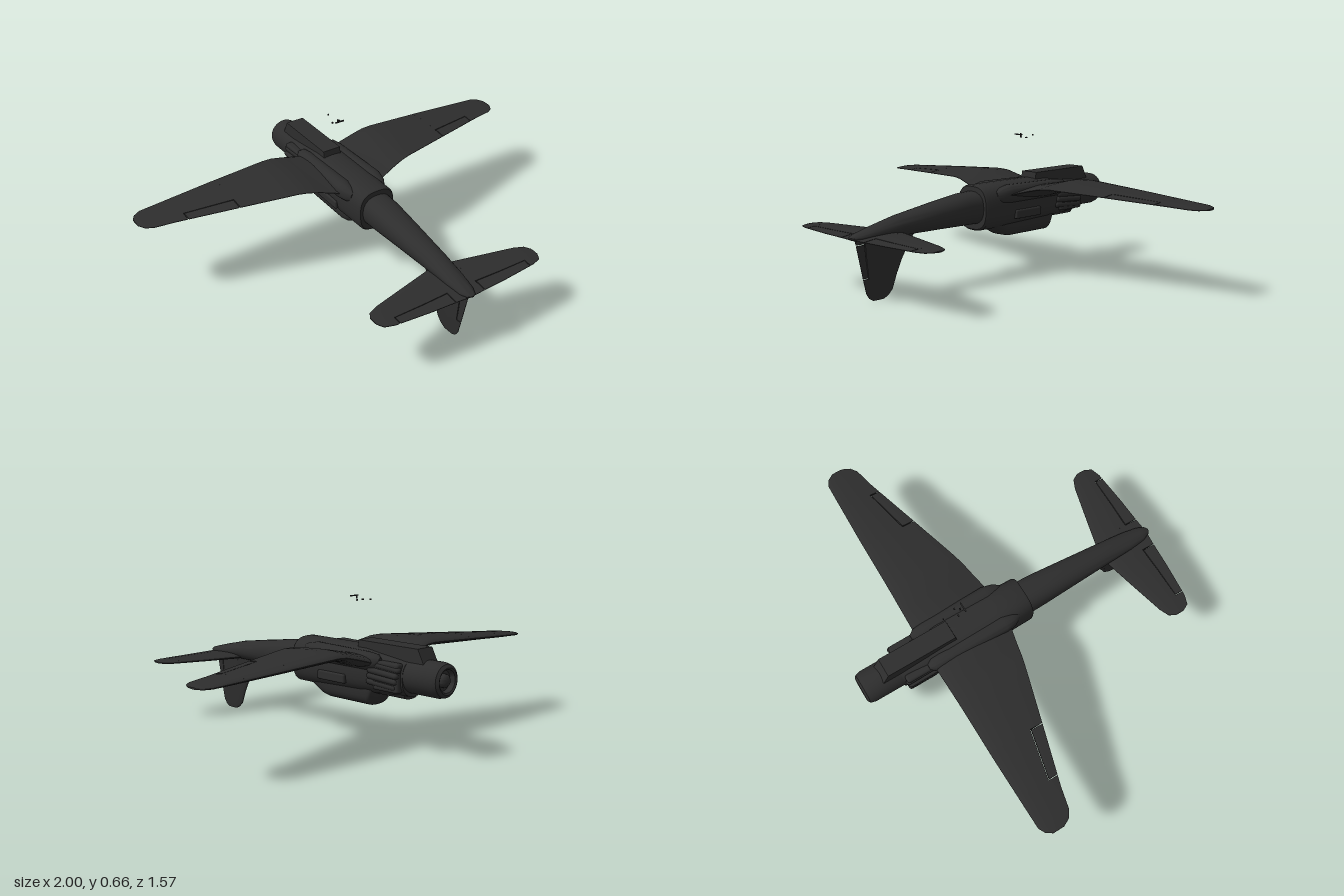
import * as THREE from 'three';
import { toCreasedNormals } from 'three/addons/utils/BufferGeometryUtils.js';
import { RoundedBoxGeometry } from 'three/addons/geometries/RoundedBoxGeometry.js';

const charcoal = new THREE.MeshStandardMaterial({ color: 0x2d2d2d });
charcoal.name = 'charcoal';

// Skins closed rings of [x, y, z] points, caps the ends and turns all faces outward
function loft(rings, crease = 0.6) {
  const n = rings[0].length;
  const pos = rings.flat(2);
  const index = [];
  for (let r = 0; r < rings.length - 1; r++) {
    for (let i = 0; i < n; i++) {
      const a = r * n + i, b = r * n + (i + 1) % n;
      index.push(a, b, b + n, a, b + n, a + n);
    }
  }
  const last = (rings.length - 1) * n;
  for (let i = 1; i < n - 1; i++) index.push(0, i + 1, i, last, last + i, last + i + 1);
  const g = new THREE.BufferGeometry();
  g.setAttribute('position', new THREE.Float32BufferAttribute(pos, 3));
  g.setIndex(index);
  return toCreasedNormals(outward(g), crease);
}

// Reverses the corner order when the enclosed volume comes out negative
function outward(g) {
  const p = g.attributes.position, ix = g.index.array;
  const v = [0, 1, 2].map(() => new THREE.Vector3());
  let volume = 0;
  for (let i = 0; i < ix.length; i += 3) {
    v.forEach((c, k) => c.fromBufferAttribute(p, ix[i + k]));
    volume += v[0].dot(v[1].clone().cross(v[2]));
  }
  if (volume < 0) for (let i = 0; i < ix.length; i += 3) [ix[i], ix[i + 1]] = [ix[i + 1], ix[i]];
  return g;
}

// Body along z from stations [z, halfWidth, bottom, top, squareness]
function body(stations, cx = 0, crease = 0.6) {
  const soft = (v, e) => Math.sign(v) * Math.abs(v) ** (2 / e);
  return loft(stations.map(([z, w, y0, y1, e = 2]) => Array.from({ length: 28 }, (_, i) => {
    const a = i / 28 * Math.PI * 2;
    return [cx + w * soft(Math.cos(a), e), (y0 + y1) / 2 + (y1 - y0) / 2 * soft(Math.sin(a), e), z];
  })), crease);
}

// Linear look-up in stations [span, leadZ, trailZ, centre, thickness]
function stationAt(st, s) {
  const up = st[1][0] > st[0][0] ? 1 : -1;
  let i = 0;
  while (i < st.length - 2 && (s - st[i + 1][0]) * up > 0) i++;
  const t = (s - st[i][0]) / (st[i + 1][0] - st[i][0]);
  return st[i].map((v, k) => v + (st[i + 1][k] - v) * t);
}

// One airfoil ring between chord fractions u0 and u1
function airfoil([s, lead, trail, mid, thick], u0, u1, place) {
  const n = 10, ring = [];
  for (let k = 0; k < 2 * n; k++) {
    const top = k < n;
    const j = top ? k / (n - 1) : (2 * n - 1 - k) / (n - 1);
    const u = u0 + (u1 - u0) * j * j * (u0 ? 1 : 1.6 - 0.6 * j);
    const h = thick * 1.3 * Math.sqrt(u) * (1 - u) + 0.0012;
    ring.push(place(s, lead + (trail - lead) * u, mid + (top ? h : -h)));
  }
  return ring;
}

// Flying surface notched between spans a and b, plus the hinged flap in the notch
function flyingSurface(st, a, b, hinge, place) {
  const up = b > a ? 1 : -1, gap = 0.004;
  const before = st.filter(q => (q[0] - a) * up < 0);
  const inside = st.filter(q => (q[0] - a) * up > 0 && (q[0] - b) * up < 0);
  const after = st.filter(q => (q[0] - b) * up > 0);
  const A = stationAt(st, a), B = stationAt(st, b);
  const ring = (q, u0, u1) => airfoil(q, u0, u1, place);
  const main = loft([
    ...[...before, A].map(q => ring(q, 0, 1)),
    ...[A, ...inside, B].map(q => ring(q, 0, hinge)),
    ...[B, ...after].map(q => ring(q, 0, 1)),
  ]);
  const flap = loft([stationAt(st, a + gap * up), ...inside, stationAt(st, b - gap * up)]
    .map(q => ring(q, hinge + 0.015, 1)));
  return [main, flap];
}

export function createModel() {
  const model = new THREE.Group();
  model.name = 'aircraft';
  const add = (name, geometry, x = 0, y = 0, z = 0) => {
    const m = new THREE.Mesh(geometry, charcoal);
    m.name = name;
    m.position.set(x, y, z);
    model.add(m);
    return m;
  };

  // Fuselage
  add('tailBoom', body([
    [0.0, 0.08, 0.26, 0.415, 2.4], [0.15, 0.076, 0.262, 0.41, 2.4], [0.32, 0.067, 0.264, 0.388, 2.2],
    [0.53, 0.055, 0.265, 0.357], [0.66, 0.047, 0.265, 0.328], [0.74, 0.036, 0.268, 0.308],
    [0.775, 0.02, 0.278, 0.298], [0.785, 0.006, 0.286, 0.292],
  ]));
  add('centreBody', body([
    [0.075, 0.092, 0.235, 0.435, 2.8], [0.065, 0.098, 0.228, 0.44, 2.8], [-0.1, 0.102, 0.228, 0.44, 2.8],
    [-0.36, 0.1, 0.235, 0.44, 2.8], [-0.45, 0.088, 0.24, 0.43, 2.6], [-0.6, 0.08, 0.25, 0.415, 2.4],
  ]));
  add('bellyScoop', body([
    [0.0, 0.06, 0.24, 0.32, 3], [-0.03, 0.07, 0.225, 0.32, 3], [-0.09, 0.076, 0.19, 0.32, 3],
    [-0.13, 0.076, 0.18, 0.32, 3], [-0.38, 0.076, 0.18, 0.32, 3], [-0.39, 0.074, 0.187, 0.32, 3],
    [-0.41, 0.07, 0.235, 0.32, 3],
  ]));
  add('chinDuct', body([[-0.36, 0.05, 0.235, 0.32, 3], [-0.58, 0.045, 0.235, 0.31, 3]]));

  // Rounded nose cowl with a recessed ring and hub
  const cowl = [[0, 0.55], [0.076, 0.55], [0.078, 0.6], [0.078, 0.75], [0.072, 0.775], [0.058, 0.785],
    [0.05, 0.78], [0.046, 0.755], [0.03, 0.755], [0.028, 0.772], [0.018, 0.782], [0, 0.784]];
  const nose = new THREE.LatheGeometry(cowl.map(([r, h]) => new THREE.Vector2(r, h)), 32);
  nose.rotateX(-Math.PI / 2);
  add('noseCowl', toCreasedNormals(outward(nose), 0.7), 0, 0.342, 0);

  // Long cabin block with sloped ends
  const cabin = new THREE.Shape([[0.30, 0.4], [0.31, 0.467], [0.655, 0.467], [0.69, 0.4]]
    .map(p => new THREE.Vector2(...p)));
  const cabinGeo = new THREE.ExtrudeGeometry(cabin, {
    depth: 0.08, bevelEnabled: true, bevelThickness: 0.006, bevelSize: 0.001, bevelSegments: 1,
  });
  cabinGeo.translate(0, 0, -0.04).rotateY(Math.PI / 2);
  add('cabinBlock', cabinGeo);

  // Flying surfaces, roots and side fittings, mirrored
  const wing = [
    [0.06, -0.45, -0.05, 0.385, 0.06], [0.12, -0.45, -0.06, 0.392, 0.055], [0.2, -0.45, -0.08, 0.414, 0.046],
    [0.26, -0.45, -0.093, 0.428, 0.042], [0.31, -0.449, -0.106, 0.431, 0.04], [0.37, -0.448, -0.122, 0.428, 0.038],
    [0.6, -0.445, -0.186, 0.416, 0.03], [0.85, -0.438, -0.256, 0.402, 0.02], [0.95, -0.435, -0.278, 0.397, 0.015],
    [0.982, -0.418, -0.3, 0.395, 0.011], [1, -0.39, -0.335, 0.394, 0.005],
  ];
  const tailplane = [
    [0.0, 0.51, 0.775, 0.28, 0.026], [0.07, 0.53, 0.769, 0.28, 0.025], [0.2, 0.562, 0.762, 0.28, 0.02],
    [0.37, 0.605, 0.747, 0.281, 0.013], [0.415, 0.625, 0.732, 0.281, 0.009], [0.432, 0.655, 0.7, 0.281, 0.004],
  ];
  for (const [side, s] of [['left', 1], ['right', -1]]) {
    const across = (span, z, h) => [s * span, h, z];
    const [wingGeo, aileron] = flyingSurface(wing, 0.57, 0.8, 0.765, across);
    add(side + 'Wing', wingGeo);
    add(side + 'Aileron', aileron);
    const [tailGeo, elevator] = flyingSurface(tailplane, 0.075, 0.35, 0.73, across);
    add(side + 'Tailplane', tailGeo);
    add(side + 'Elevator', elevator);

    add(side + 'WingRoot', body([
      [0.0, 0.012, 0.365, 0.41], [-0.03, 0.03, 0.355, 0.425, 2.4], [-0.08, 0.042, 0.35, 0.435, 2.4],
      [-0.4, 0.035, 0.35, 0.43, 2.4], [-0.45, 0.03, 0.36, 0.425, 2.4], [-0.475, 0.012, 0.375, 0.41],
    ], s * 0.082));
    add(side + 'SidePanel', new RoundedBoxGeometry(0.03, 0.042, 0.17, 3, 0.008), s * 0.096, 0.293, -0.195);

    // Staggered exhaust stubs
    for (let i = 0; i < 4; i++) {
      const pipe = new THREE.CapsuleGeometry(0.014, 0.15, 4, 12);
      pipe.rotateX(Math.PI / 2 - 0.06);
      add(side + 'Exhaust', pipe, s * (0.088 + 0.004 * (i % 3)), 0.298 + i * 0.026, -0.49 - 0.006 * i);
    }
    add(side + 'EngineFlank', new RoundedBoxGeometry(0.04, 0.13, 0.15, 2, 0.012), s * 0.078, 0.335, -0.515);
  }

  // Fin and rudder
  const fin = [
    [0.29, 0.415, 0.762, 0, 0.024], [0.265, 0.43, 0.755, 0, 0.024], [0.23, 0.458, 0.747, 0, 0.022],
    [0.165, 0.5, 0.732, 0, 0.019], [0.1, 0.532, 0.717, 0, 0.015], [0.035, 0.557, 0.701, 0, 0.01],
    [0.012, 0.58, 0.685, 0, 0.007], [0, 0.605, 0.665, 0, 0.004],
  ];
  const [finGeo, rudder] = flyingSurface(fin, 0.255, 0.1, 0.85, (span, z, h) => [h, span, z]);
  add('fin', finGeo);
  add('rudder', rudder);

  // Small detached fittings
  add('sightBar', new THREE.BoxGeometry(0.046, 0.005, 0.006), 0, 0.653, -0.235);
  add('sightPost', new THREE.BoxGeometry(0.005, 0.018, 0.006), 0, 0.649, -0.25);
  for (const s of [1, -1]) add('sightStud', new THREE.BoxGeometry(0.008, 0.006, 0.007), s * 0.018, 0.637, -0.27);
  add('sightTip', new THREE.BoxGeometry(0.006, 0.007, 0.006), 0, 0.645, -0.335);
  return model;
}
